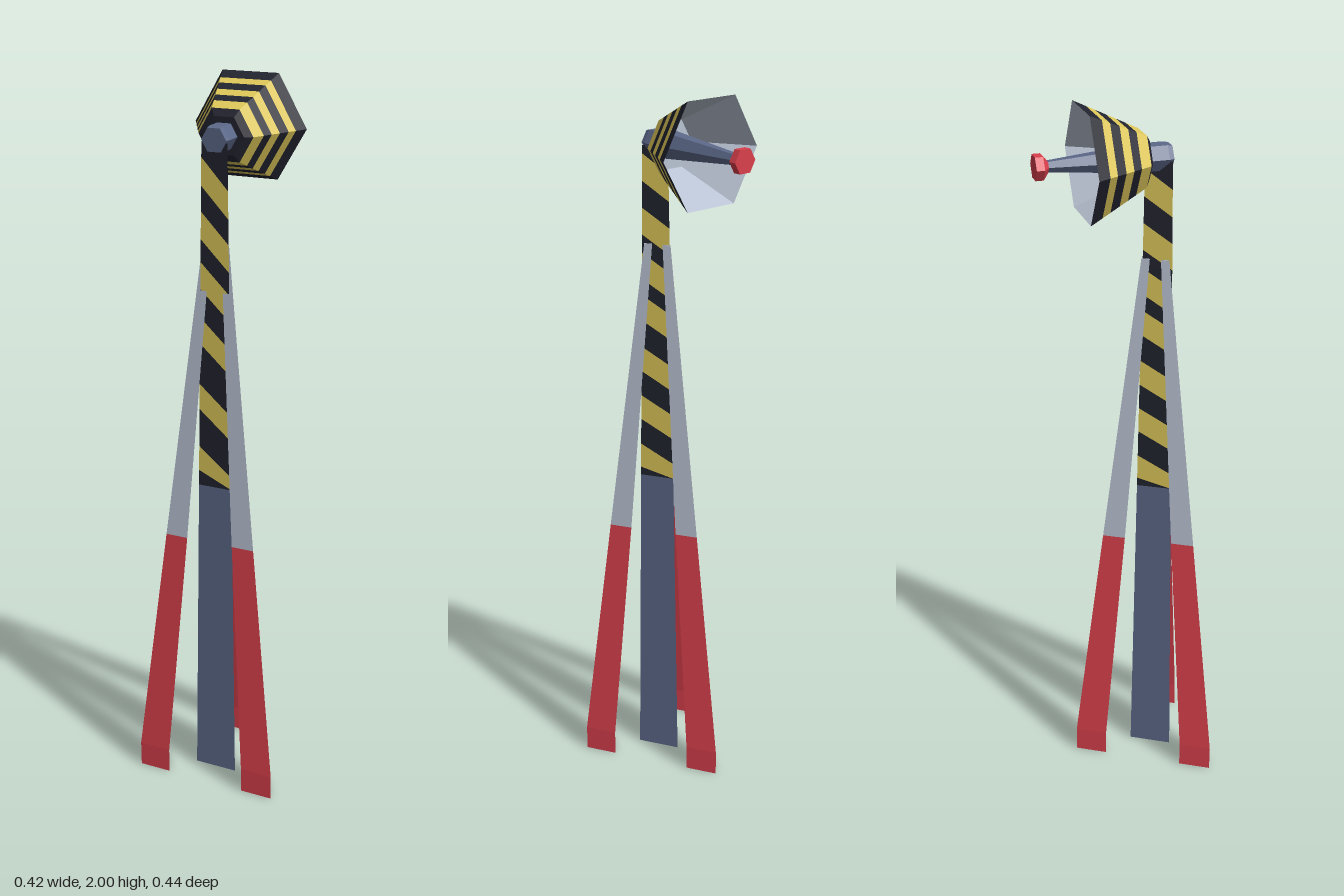
import * as THREE from 'three';

const mat = (name, color) => {
  const m = new THREE.MeshStandardMaterial({ color });
  m.name = name;
  return m;
};

export function createModel() {
  const blue = mat('slate blue', 0x5d698a);
  const red = mat('red', 0xda404c);
  const grey = mat('light grey', 0xb9c3d3);
  const yellow = mat('yellow', 0xdfc95a);
  const black = mat('black', 0x22242f);

  const root = new THREE.Group();
  root.name = 'hornTower';

  const add = (parent, name, geo, material) => {
    const g = geo.index ? geo.toNonIndexed() : geo;
    g.computeVertexNormals(); // faceted look
    const mesh = new THREE.Mesh(g, material);
    mesh.name = name;
    parent.add(mesh);
    return mesh;
  };

  // Three-sided prism, edge towards -z, running from section a to section b: [x, y, z, r]
  const prism = (a, b, open = false) => {
    const h = b[1] - a[1];
    const g = new THREE.CylinderGeometry(b[3], a[3], h, 3, 1, open, Math.PI);
    const p = g.attributes.position;
    for (let i = 0; i < p.count; i++) {
      const t = p.getY(i) / h + 0.5;
      p.setXYZ(i, p.getX(i) + a[0] + (b[0] - a[0]) * t, a[1] + h * t,
        p.getZ(i) + a[2] + (b[2] - a[2]) * t);
    }
    return g;
  };

  // Central mast: plain lower half
  const POLE_Z = 0.106, SPLIT = 0.92, TOP = 1.86;
  const poleR = (y) => 0.072 - 0.031 * y / TOP;
  add(root, 'mastLower', prism([0, 0, POLE_Z, poleR(0)], [0, SPLIT, POLE_Z, poleR(SPLIT)]), blue);

  // Central mast: upper half with diagonal hazard stripes on each of its three faces
  const sideStripes = [0.955, 1.103, 1.247, 1.395, 1.512, 1.634, 1.777];
  const frontStripes = [0.96, 1.14, 1.326, 1.475, 1.607, 1.745];
  const tris = { yellow: [], black: [] };
  const corner = (k, y) => {
    const a = Math.PI + k * Math.PI * 2 / 3;
    return [Math.sin(a) * poleR(y), y, POLE_Z + Math.cos(a) * poleR(y)];
  };
  for (let k = 0; k < 3; k++) {
    const centres = k === 1 ? frontStripes : sideStripes;
    const slope = k === 1 ? 0.04 : 0.025;
    const edges = [SPLIT - 1, ...centres.flatMap((c) => [c - 0.036, c + 0.036]), TOP + 1];
    const level = (y, u) => THREE.MathUtils.clamp(y - slope * u, SPLIT, TOP);
    for (let i = 0; i + 1 < edges.length; i++) {
      const a = corner(k, level(edges[i], -1)), b = corner(k + 1, level(edges[i], 1));
      const c = corner(k + 1, level(edges[i + 1], 1)), d = corner(k, level(edges[i + 1], -1));
      tris[i % 2 ? 'yellow' : 'black'].push(...a, ...b, ...c, ...a, ...c, ...d);
    }
  }
  for (const [key, material] of [['yellow', yellow], ['black', black]]) {
    const g = new THREE.BufferGeometry();
    g.setAttribute('position', new THREE.Float32BufferAttribute(tris[key], 3));
    add(root, 'mastStripes_' + key, g, material);
  }
  add(root, 'mastCap', prism([0, TOP - 0.01, POLE_Z, 0.04], [0, TOP + 0.004, POLE_Z, 0.038]), blue);

  // Three braces spread evenly round the mast: upright foot, red shin, grey upper part
  [60, -60, 180].forEach((deg, i) => {
    const a = THREE.MathUtils.degToRad(deg);
    const at = (y, dist, r) => [Math.sin(a) * dist, y, 0.1 + Math.cos(a) * dist, r];
    const leg = new THREE.Group();
    leg.name = ['leftLeg', 'rightLeg', 'backLeg'][i];
    const foot = at(0, 0.188, 0.054), ankle = at(0.075, 0.188, 0.054);
    const knee = at(0.77, 0.115, 0.037), tip = at(1.6, 0.03, 0.013);
    add(leg, 'foot', prism(foot, ankle), red);
    add(leg, 'shin', prism(ankle, knee), red);
    add(leg, 'upperBrace', prism(knee, tip), grey);
    root.add(leg);
  });

  // Six-sided horn head, pointing to -z
  const head = new THREE.Group();
  head.name = 'head';
  head.position.y = 1.866;
  root.add(head);
  const hex = (z0, r0, z1, r1, open = false) =>
    new THREE.CylinderGeometry(r1, r0, z1 - z0, 6, 1, open, Math.PI / 2)
      .rotateX(Math.PI / 2).translate(0, 0, (z0 + z1) / 2);

  add(head, 'neck', hex(0.06, 0.037, 0.118, 0.037), blue);
  add(head, 'neckEnd', hex(0.118, 0.037, 0.131, 0.034), blue);
  add(head, 'hornBase', hex(0.057, 0.076, 0.068, 0.055), black);

  // Striped outer shell of the horn
  const hornR = (z) => 0.076 + (0.057 - z) * 0.082 / 0.158;
  const bands = [-0.101, -0.068, -0.046, -0.02, 0.004, 0.027, 0.057];
  for (let i = 0; i < 6; i++) {
    const a = bands[i], b = bands[i + 1];
    add(head, 'hornBand' + (i + 1), hex(a, hornR(a), b, hornR(b), true), i % 2 ? yellow : black);
  }

  // Inner face of the horn, turned inside out
  const inner = hex(-0.101, hornR(-0.101), 0.052, 0.07).toNonIndexed();
  const p = inner.attributes.position, kept = [];
  for (let i = 0; i < p.count; i += 3) {
    const tri = [i, i + 2, i + 1];
    if (tri.every((j) => p.getZ(j) < -0.1)) continue; // leave the mouth open
    tri.forEach((j) => kept.push(p.getX(j), p.getY(j), p.getZ(j)));
  }
  const lining = new THREE.BufferGeometry();
  lining.setAttribute('position', new THREE.Float32BufferAttribute(kept, 3));
  add(head, 'hornLining', lining, grey);

  // Emitter rod with red tip
  add(head, 'rod', hex(-0.19, 0.015, 0.052, 0.038), blue);
  add(head, 'tipCone', hex(-0.202, 0.034, -0.188, 0.016), red);
  add(head, 'tip', hex(-0.223, 0.034, -0.202, 0.034), red);

  return root;
}
